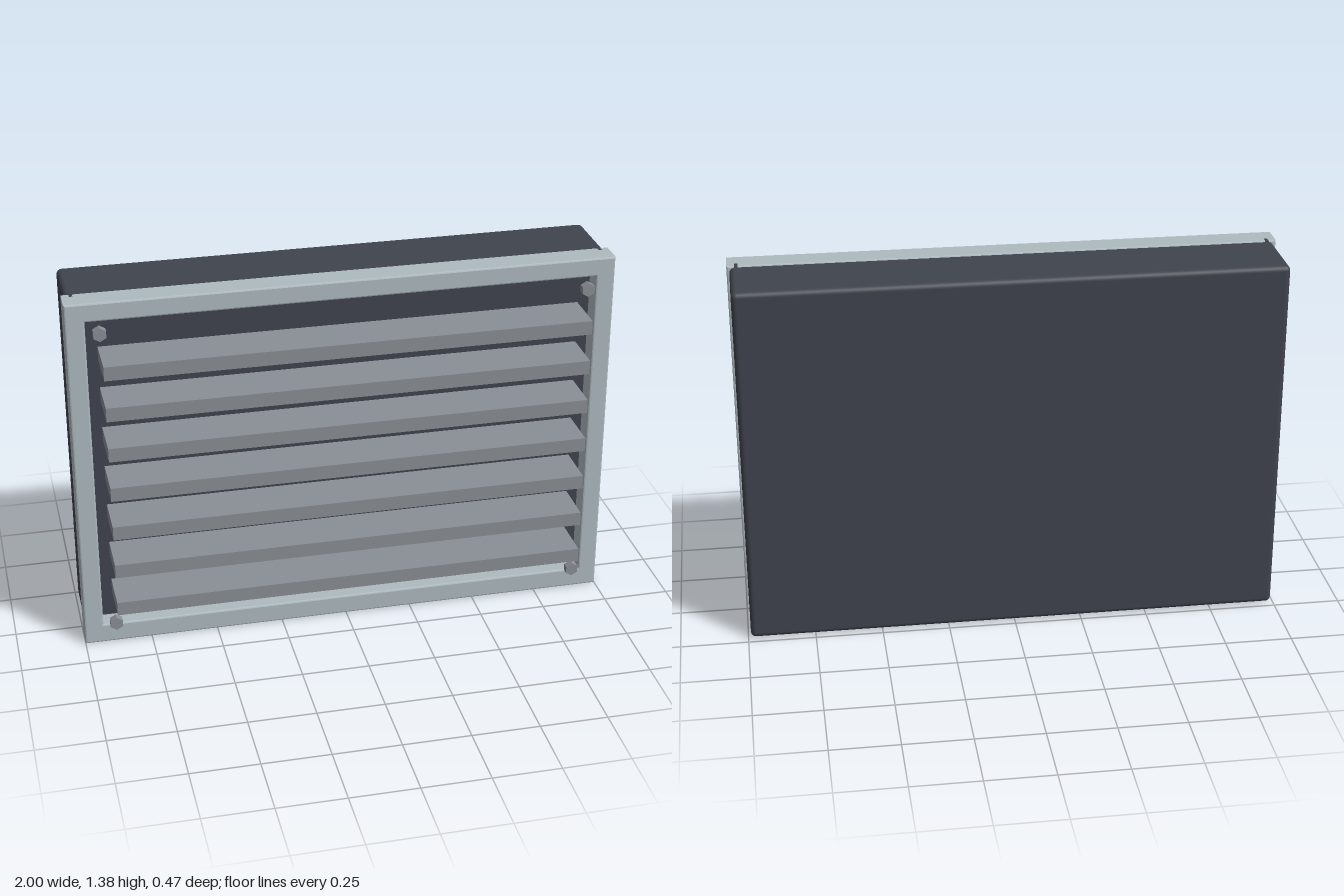
import * as THREE from 'three';
import { RoundedBoxGeometry } from 'three/addons/geometries/RoundedBoxGeometry.js';

function material(name, color) {
  const m = new THREE.MeshStandardMaterial({ color });
  m.name = name;
  return m;
}

export function createModel() {
  const model = new THREE.Group();
  model.name = 'louvredVent';
  const dark = material('dark slate', 0x40444e);
  const pale = material('pale grey', 0xafbbc0);
  const grey = material('mid grey', 0x8a8f96);

  const add = (name, geometry, mat, x, y, z) => {
    const mesh = new THREE.Mesh(geometry, mat);
    mesh.name = name;
    mesh.position.set(x, y, z);
    model.add(mesh);
    return mesh;
  };

  // Housing: a softly rounded box whose front is the recessed panel
  add('housing', new RoundedBoxGeometry(1.98, 1.37, 0.29, 4, 0.02), dark, 0, 0.69, -0.09);

  // Frame: rectangular ring with slightly eased edges
  const ring = new THREE.Shape([
    new THREE.Vector2(-1, 0), new THREE.Vector2(1, 0),
    new THREE.Vector2(1, 1.38), new THREE.Vector2(-1, 1.38),
  ]);
  ring.holes.push(new THREE.Path([
    new THREE.Vector2(-0.93, 0.075), new THREE.Vector2(-0.93, 1.31),
    new THREE.Vector2(0.93, 1.31), new THREE.Vector2(0.93, 0.075),
  ]));
  const bevel = 0.006;
  const frame = new THREE.ExtrudeGeometry(ring, {
    depth: 0.1 - 2 * bevel, bevelEnabled: true, bevelSize: bevel,
    bevelThickness: bevel, bevelOffset: -bevel, bevelSegments: 2,
  });
  add('frame', frame, pale, 0, 0, 0.025 + bevel);

  // Short dark seams at the frame corners, top and bottom
  const seam = new THREE.BoxGeometry(0.012, 0.004, 0.03);
  for (const x of [-0.966, 0.966]) {
    for (const y of [0.0015, 1.3785]) add('frameSeam', seam, dark, x, y, 0.035);
  }

  // Seven horizontal slats
  const slat = new THREE.BoxGeometry(1.77, 0.053, 0.175);
  for (let i = 0; i < 7; i++) add('slat', slat, grey, 0, 0.682 + (i - 3) * 0.159, 0.1475);

  // Hexagonal bolt heads in the corners
  const bolt = new THREE.CylinderGeometry(0.026, 0.026, 0.026, 6).toNonIndexed();
  bolt.rotateX(Math.PI / 2);
  bolt.computeVertexNormals();
  for (const x of [-0.885, 0.885]) {
    for (const y of [0.104, 1.281]) add('cornerBolt', bolt, grey, x, y, 0.162);
  }
  return model;
}
